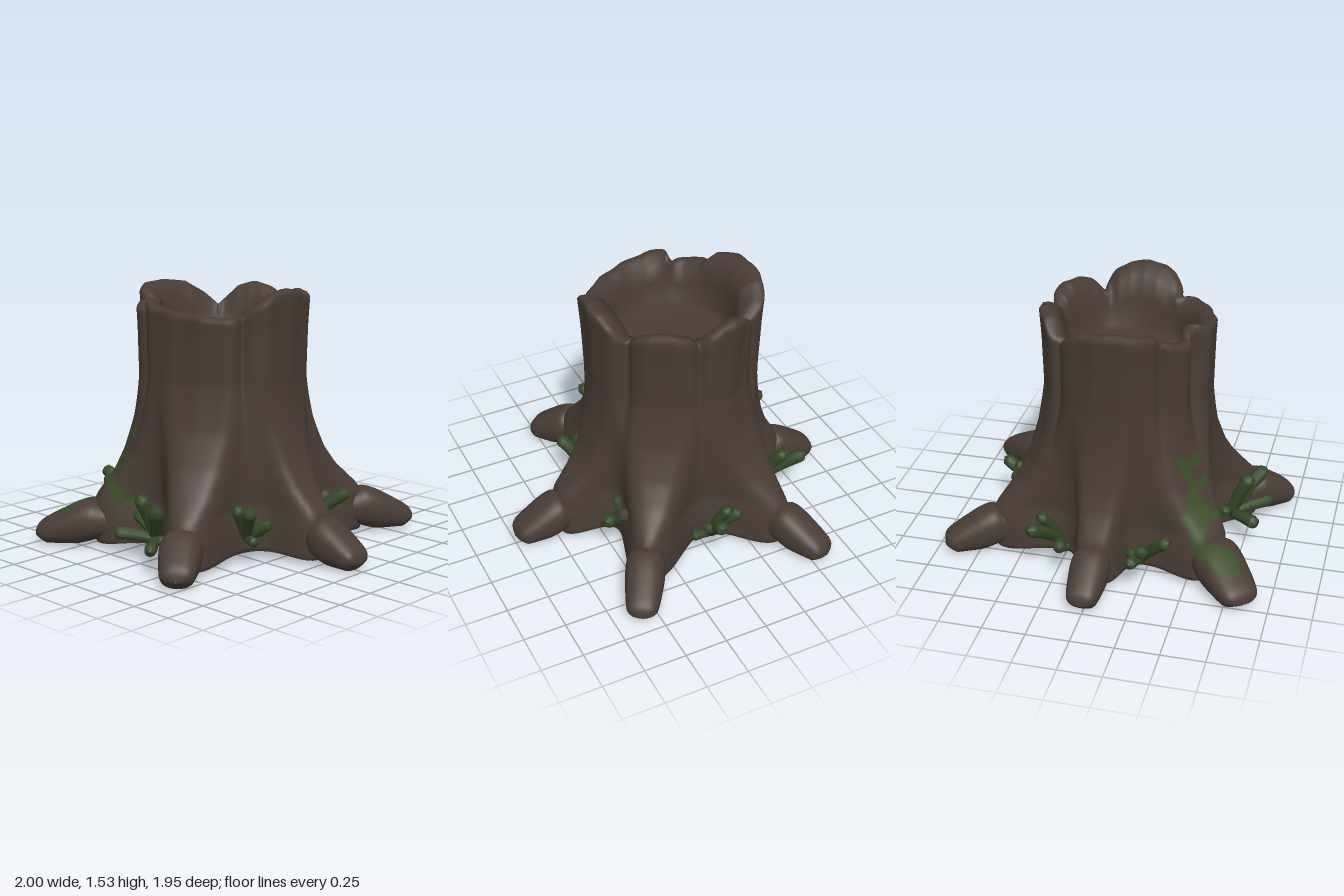
import * as THREE from 'three';

function flat(name, color) {
  const m = new THREE.MeshStandardMaterial({ color });
  m.name = name;
  return m;
}
const bark = flat('bark', 0x493c35);
const moss = flat('moss green', 0x3c4c2a);
const grass = flat('grass green', 0x354828);

const CX = -0.045, CZ = 0.035, DEG = Math.PI / 180;
const { smoothstep, clamp, lerp } = THREE.MathUtils;

// roots: direction, collar distance, half width at the centre, taper, tip bearing, tip length, tip half width
const ROOTS = [
  [-2, 0.77, 0.215, 0.11, 1, 0.275, 0.122], [62, 0.81, 0.32, 0.24, 51, 0.26, 0.118],
  [126, 0.76, 0.31, 0.2, 141, 0.355, 0.142], [184, 0.69, 0.2, 0.11, 180, 0.27, 0.11],
  [-119, 0.82, 0.32, 0.25, -117, 0.3, 0.112], [-54, 0.85, 0.32, 0.25, -60, 0.33, 0.112],
];
// ragged rim: angle in degrees, height
const RIM = [
  [-32, 1.38], [-27, 1.42], [-22, 1.475], [-12, 1.52], [0, 1.54], [12, 1.52], [20, 1.48], [27, 1.43],
  [32, 1.39], [45, 1.39], [70, 1.41], [95, 1.43], [112, 1.47], [117, 1.4], [126, 1.4], [143, 1.43],
  [150, 1.48], [165, 1.505], [180, 1.51], [198, 1.49], [212, 1.42], [222, 1.35], [229, 1.39], [238, 1.46],
  [250, 1.49], [262, 1.47], [270, 1.44], [276, 1.38], [284, 1.45], [296, 1.48], [310, 1.475], [320, 1.45],
  [328, 1.38],
];
const SEAMS = [-32, 32, 115, 145, 223, 276];
const TRUNK = [[0, 0.46], [0.4, 0.46], [0.7, 0.457], [1, 0.467], [1.3, 0.482], [1.55, 0.505]];
// how far a root reaches from trunk to collar at each height
const FLARE = [[0, 1], [0.26, 1], [0.3, 0.94], [0.34, 0.83], [0.43, 0.59], [0.55, 0.37], [0.75, 0.12], [1, -0.1], [1.5, -0.15]];
const ROUND = [[0.05, 1.02], [0.18, 1], [0.3, 0.93], [0.45, 0.96], [0.8, 1]];

// moss strokes in front elevation: x1, y1, x2, y2, half width
const MOSS = [
  [-0.4, 0.71, -0.39, 0.55, 0.022], [-0.38, 0.66, -0.31, 0.68, 0.03], [-0.39, 0.55, -0.31, 0.56, 0.025],
  [-0.42, 0.48, -0.46, 0.4, 0.04], [-0.46, 0.4, -0.56, 0.34, 0.045], [-0.42, 0.4, -0.28, 0.33, 0.035],
  [-0.28, 0.33, -0.17, 0.26, 0.03], [-0.17, 0.26, -0.12, 0.12, 0.025], [-0.56, 0.34, -0.6, 0.28, 0.05],
  [-0.59, 0.27, -0.68, 0.23, 0.055],
];

function lerpTable(table, x) {
  if (x <= table[0][0]) return table[0][1];
  for (let i = 1; i < table.length; i++) {
    const [x0, y0] = table[i - 1], [x1, y1] = table[i];
    if (x <= x1) return y0 + (y1 - y0) * (x - x0) / (x1 - x0);
  }
  return table[table.length - 1][1];
}

// moss keeps to the front flank of its root
function isMoss(x, y, z) {
  if (z < 0.1 || 0.8 * (x - CX) + 0.6 * (z - CZ) < -0.12) return false;
  return MOSS.some(([x1, y1, x2, y2, w]) => {
    const dx = x2 - x1, dy = y2 - y1;
    const t = clamp(((x - x1) * dx + (y - y1) * dy) / (dx * dx + dy * dy), 0, 1);
    return Math.hypot(x - x1 - t * dx, y - y1 - t * dy) < w;
  });
}

// closed loops of points joined in rows; mossy faces go to a second group
function loft(name, rows, cols, point) {
  const pos = [], wood = [], green = [];
  for (let r = 0; r < rows; r++) for (let c = 0; c < cols; c++) pos.push(...point(r, c));
  for (let r = 0; r < rows - 1; r++) {
    for (let c = 0; c < cols; c++) {
      const a = r * cols + c, b = r * cols + (c + 1) % cols, d = a + cols, e = b + cols;
      const mid = [0, 1, 2].map(k => (pos[a * 3 + k] + pos[e * 3 + k]) / 2);
      (isMoss(...mid) ? green : wood).push(a, d, b, b, d, e);
    }
  }
  const g = new THREE.BufferGeometry();
  g.setAttribute('position', new THREE.Float32BufferAttribute(pos, 3));
  g.setIndex([...wood, ...green]);
  g.addGroup(0, wood.length, 0);
  if (green.length) g.addGroup(wood.length, green.length, 1);
  g.computeVertexNormals();
  const mesh = new THREE.Mesh(g, [bark, moss]);
  mesh.name = name;
  return mesh;
}

const angleGap = (a, b) => Math.abs(((a - b) % 360 + 540) % 360 - 180);
const rimHeight = deg => lerpTable(RIM, deg > 328 ? deg - 360 : deg);

// outer radius: trunk blended with six tapering root ridges, cut by bark seams
function radius(deg, y) {
  let sum = (lerpTable(TRUNK, y) * (1 + 0.035 * Math.cos(2 * deg * DEG))) ** 8;
  const f = lerpTable(FLARE, y), round = lerpTable(ROUND, y);
  for (const [dir, collar, width, taper] of ROOTS) {
    const d = angleGap(deg, dir) * DEG;
    if (d >= Math.PI / 2) continue;
    const side = (Math.sin(d) + taper * Math.cos(d)) / (width * round);
    const end = Math.cos(d) / lerp(0.45, collar, f);
    sum += 1 / (side ** 8 + end ** 8);
  }
  let r = sum ** (1 / 8);
  const depth = smoothstep(y, 0.45, 1.35);
  for (const s of SEAMS) {
    const d = angleGap(deg, s);
    r -= depth * (0.03 * Math.exp(-((d / 8) ** 2)) + 0.03 * Math.exp(-((d / 3) ** 2)));
  }
  return r + 0.005 * Math.sin(deg * DEG * 17 + y * 2) * depth;
}

function makeTrunk() {
  const cols = 240, outer = 56, floor = 1.16;
  return loft('trunk', outer + 11, cols, (row, c) => {
    const deg = c * 360 / cols, h = rimHeight(deg), reach = radius(deg, 0.05);
    const foot = 0.055 - 0.025 * smoothstep(reach, 0.55, 0.82);
    let r, y;
    if (row < 3) { // underside
      r = [0.001, 0.42, reach - 0.02][row];
      y = row < 2 ? 0.055 : foot;
    } else if (row < outer + 3) { // bark wall
      y = foot + (h - 0.02 - foot) * (row - 3) / (outer - 1);
      r = radius(deg, y);
    } else { // rounded rim, hollow and its floor
      const top = radius(deg, h);
      [r, y] = [
        [top - 0.012, h - 0.004], [top - 0.04, h], [top - 0.075, h - 0.008], [0.385, h - 0.05],
        [0.365, (h + floor) / 2], [0.352, floor + 0.03], [0.32, floor], [0.001, floor],
      ][row - outer - 3];
    }
    return [CX + r * Math.cos(deg * DEG), y, CZ + r * Math.sin(deg * DEG)];
  });
}

// blunt root end: fraction along, width factor, top height
const TIP = [
  [-0.4, 0.75, 0.23], [-0.12, 0.93, 0.26], [0, 1, 0.275], [0.12, 1.02, 0.272], [0.3, 1, 0.25],
  [0.5, 0.94, 0.215], [0.7, 0.87, 0.178], [0.85, 0.77, 0.148], [0.95, 0.57, 0.118], [1, 0.01, 0.065],
];
function makeTip([dir, collar, , , bearing, length, width]) {
  const cols = 40, rows = (TIP.length - 1) * 4 + 1;
  const curve = new THREE.CatmullRomCurve3(TIP.map(p => new THREE.Vector3(...p)));
  const dx = Math.cos(bearing * DEG), dz = Math.sin(bearing * DEG);
  const ox = CX + collar * Math.cos(dir * DEG), oz = CZ + collar * Math.sin(dir * DEG);
  const square = v => Math.sign(v) * Math.abs(v) ** 0.85;
  return loft('rootTip', rows, cols, (row, c) => {
    const p = curve.getPoint(row / (rows - 1)), b = c / cols * Math.PI * 2;
    const along = length * p.x;
    const low = 0.05 - 0.042 * smoothstep(p.x, -0.25, 0.35) + 0.05 * Math.max(0, p.x - 0.8) / 0.2;
    const side = square(Math.cos(b)) * width * p.y;
    const y = (p.z + low) / 2 + square(Math.sin(b)) * (p.z - low) / 2;
    return [ox + dx * along - dz * side, y, oz + dz * along + dx * side];
  });
}

// tufts: base point, then blade ends (x, y, z, thickness, 1 for a dry blade)
const TUFTS = [
  [[0.03, 0.13, 0.65], [[0.02, 0.41, 0.77, 0.046], [0.22, 0.37, 0.83, 0.044], [-0.13, 0.18, 0.83, 0.042],
    [0.22, 0.15, 0.88, 0.038], [-0.15, 0.25, 0.64, 0.034], [0.16, 0.16, 0.72, 0.03, 1]]],
  [[0.4, 0.13, 0.3], [[0.54, 0.35, 0.42, 0.042], [0.53, 0.24, 0.24, 0.038], [0.42, 0.35, 0.41, 0.04],
    [0.52, 0.15, 0.36, 0.032], [0.44, 0.17, 0.2, 0.03]]],
  [[0.4, 0.12, -0.24], [[0.58, 0.32, -0.39, 0.042], [0.45, 0.3, -0.36, 0.038, 1], [0.53, 0.14, -0.18, 0.034, 1],
    [0.52, 0.22, -0.26, 0.036], [0.43, 0.3, -0.19, 0.032]]],
  [[-0.01, 0.13, -0.55], [[0.01, 0.34, -0.76, 0.043], [-0.16, 0.32, -0.65, 0.041], [-0.09, 0.37, -0.65, 0.038],
    [0.11, 0.15, -0.55, 0.034], [0.06, 0.28, -0.66, 0.033]]],
  [[-0.5, 0.13, -0.25], [[-0.75, 0.34, -0.38, 0.042], [-0.63, 0.37, -0.35, 0.038], [-0.74, 0.24, -0.2, 0.04],
    [-0.6, 0.15, -0.2, 0.032], [-0.52, 0.3, -0.37, 0.033]]],
  [[-0.56, 0.14, 0.26], [[-0.82, 0.34, 0.29, 0.041], [-0.78, 0.22, 0.21, 0.037], [-0.67, 0.33, 0.42, 0.04],
    [-0.64, 0.2, 0.17, 0.034]]],
];

function makeBlade(base, [x, y, z, thick, dry]) {
  const from = new THREE.Vector3(...base), to = new THREE.Vector3(x, y, z);
  const lean = new THREE.Vector3(to.x - from.x, 0, to.z - from.z);
  const mid = from.clone().lerp(to, 0.5).addScaledVector(lean, -0.15).add(new THREE.Vector3(0, 0.015, 0));
  const curve = new THREE.QuadraticBezierCurve3(from, mid, to);
  const rows = 16, cols = 10;
  const g = new THREE.TubeGeometry(curve, rows, thick, cols, false);
  // round both ends and narrow the foot
  const pos = g.attributes.position, p = new THREE.Vector3();
  for (let i = 0; i < pos.count; i++) {
    const t = Math.floor(i / (cols + 1)) / rows, c = curve.getPointAt(t);
    const s = (0.7 + 0.3 * t) * Math.sqrt(Math.max(0.0004, 1 - Math.abs(2 * t - 1) ** 9));
    p.fromBufferAttribute(pos, i).sub(c).multiplyScalar(s).add(c);
    pos.setXYZ(i, p.x, p.y, p.z);
  }
  g.computeVertexNormals();
  const mesh = new THREE.Mesh(g, dry ? bark : grass);
  mesh.name = dry ? 'dryBlade' : 'grassBlade';
  return mesh;
}

export function createModel() {
  const model = new THREE.Group();
  model.name = 'treeStump';
  model.add(makeTrunk());
  for (const root of ROOTS) model.add(makeTip(root));
  for (const [base, ends] of TUFTS) {
    const tuft = new THREE.Group();
    tuft.name = 'grassTuft';
    for (const end of ends) tuft.add(makeBlade(base, end));
    model.add(tuft);
  }
  return model;
}
